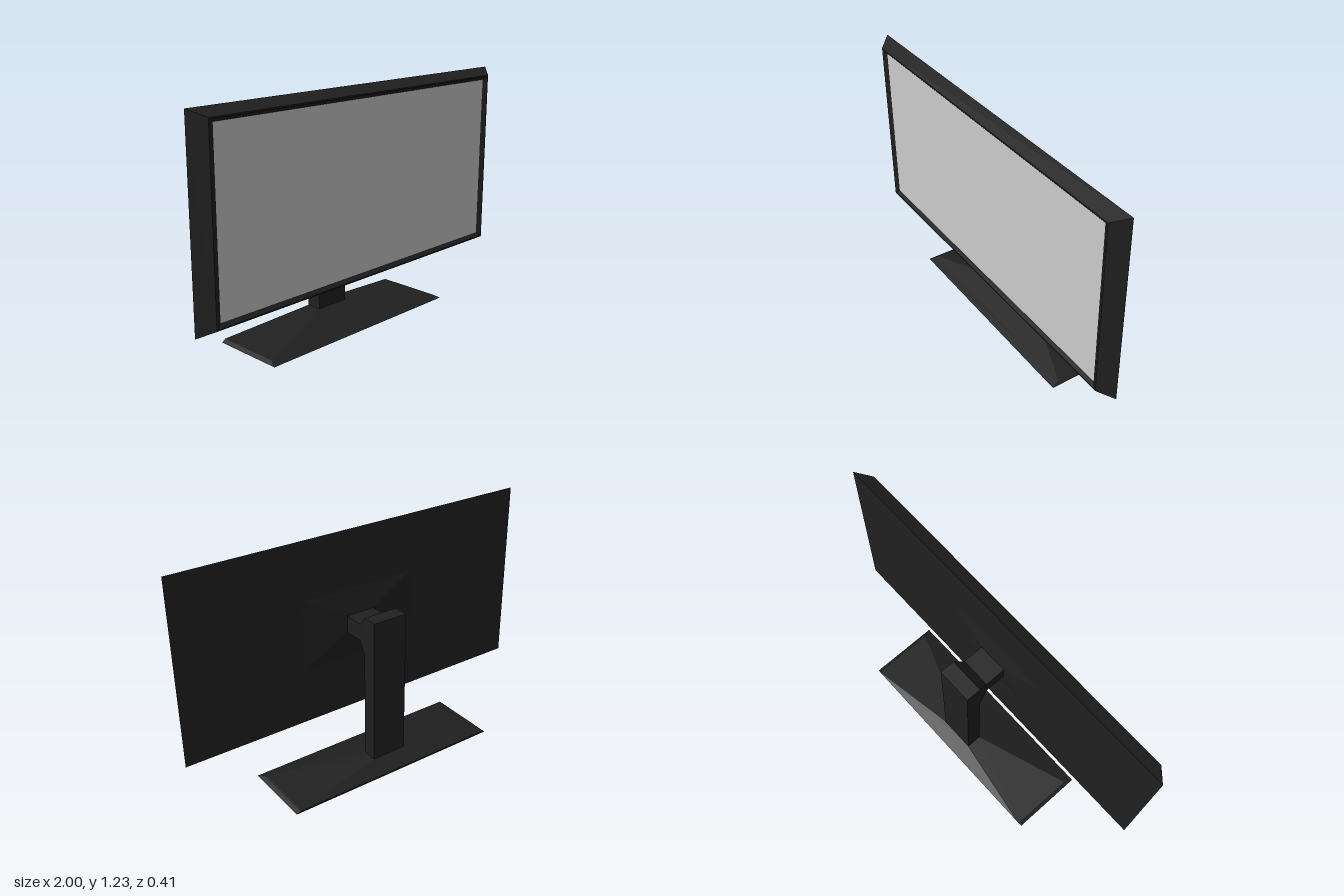
import * as THREE from 'three';

const dark = new THREE.MeshStandardMaterial({ color: 0x202020, flatShading: true });
const grey = new THREE.MeshStandardMaterial({ color: 0xcccccc });

// Joins rectangles [z, halfWidth, yMin, yMax], listed from back to front, into a solid.
function rectLoft(sections, frontCap = true) {
  const rings = sections.map(([z, w, y0, y1]) =>
    [[-w, y0, z], [w, y0, z], [w, y1, z], [-w, y1, z]]);
  const pos = [];
  const quad = (a, b, c, d) => pos.push(...a, ...b, ...c, ...a, ...c, ...d);
  for (let i = 0; i < rings.length - 1; i++) {
    const p = rings[i], q = rings[i + 1];
    for (let k = 0; k < 4; k++) {
      const n = (k + 1) % 4;
      quad(p[k], p[n], q[n], q[k]);
    }
  }
  const first = rings[0], last = rings[rings.length - 1];
  quad(first[3], first[2], first[1], first[0]);
  if (frontCap) quad(...last);
  const g = new THREE.BufferGeometry();
  g.setAttribute('position', new THREE.Float32BufferAttribute(pos, 3));
  g.computeVertexNormals();
  return g;
}

export function createModel() {
  const model = new THREE.Group();
  const add = (name, geometry, material = dark) => {
    const mesh = new THREE.Mesh(geometry, material);
    mesh.name = name;
    model.add(mesh);
    return mesh;
  };

  // Tapered housing with a thin rim sloping in to the screen
  add('housing', rectLoft([
    [0.135, 1, 0.25, 1.23],
    [0.203, 0.935, 0.285, 1.195],
    [0.203, 0.927, 0.292, 1.188],
    [0.19, 0.905, 0.31, 1.173],
  ], false));

  // Screen
  add('screen', new THREE.PlaneGeometry(1.81, 0.863), grey).position.set(0, 0.7415, 0.19);

  // Shallow raised mount on the back
  add('backMount', rectLoft([
    [0.118, 0.08, 0.695, 0.785],
    [0.136, 0.34, 0.54, 0.93],
  ]));

  // Arm flaring into the post
  add('arm', rectLoft([
    [-0.05, 0.095, 0.635, 0.845],
    [0.006, 0.08, 0.695, 0.785],
    [0.12, 0.08, 0.695, 0.785],
  ]));

  // Upright post
  add('post', new THREE.BoxGeometry(0.19, 0.785, 0.08)).position.set(0, 0.4525, -0.09);

  // Sloped foot: lofted upward, so each section is [y, halfWidth, -zFront, -zBack]
  add('base', rectLoft([
    [0, 0.605, -0.182, 0.2],
    [0.013, 0.585, -0.137, 0.204],
    [0.07, 0.095, 0.05, 0.13],
  ]).rotateX(-Math.PI / 2));

  return model;
}
